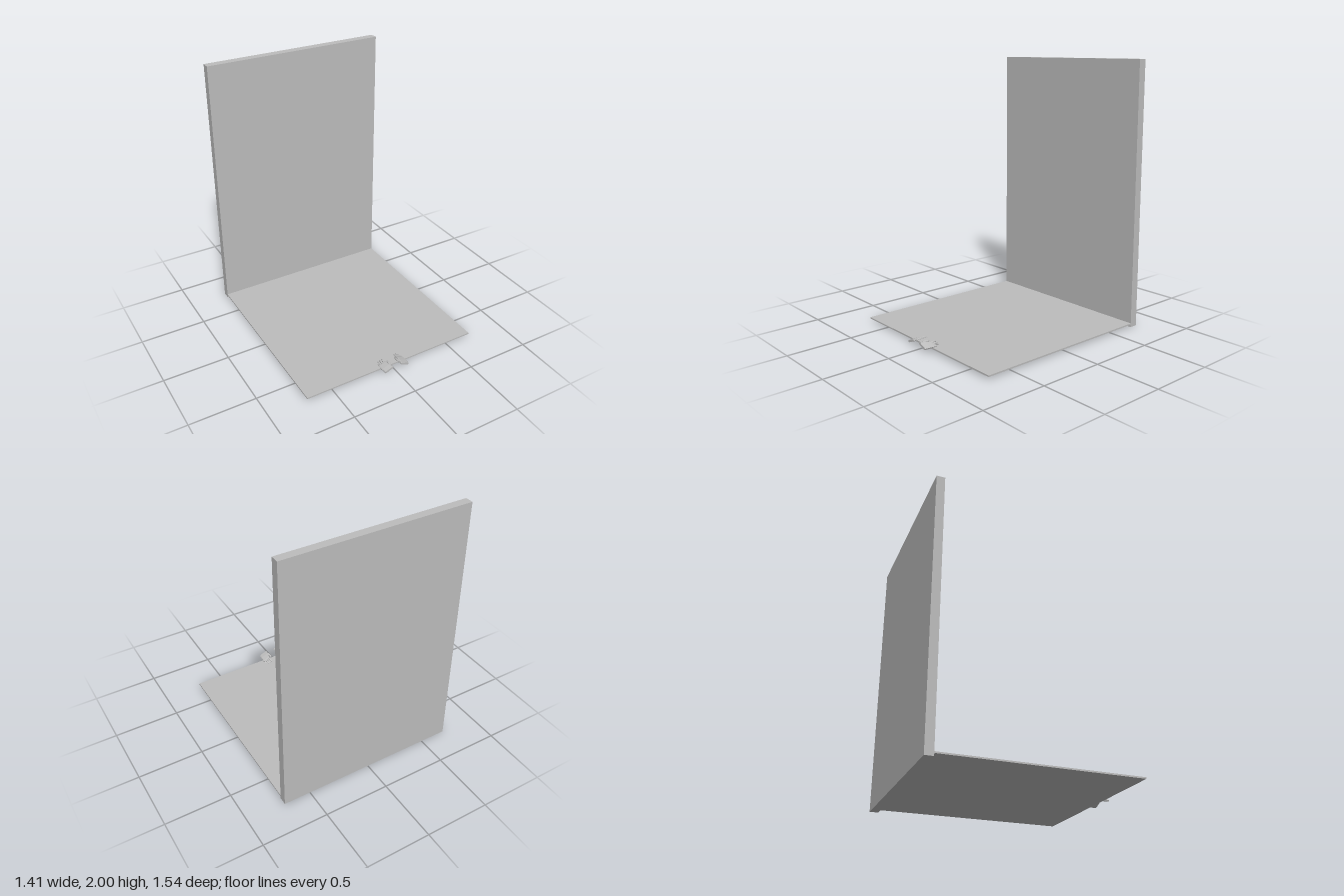
import * as THREE from 'three';

const grey = new THREE.MeshStandardMaterial({ color: 0xbdbdbd, flatShading: true });
grey.name = 'plain grey';

// Bevelled rectangle used as the cross-section of palms and fingers
const RING = [[1, -0.6], [1, 0.6], [0.8, 1], [-0.8, 1], [-1, 0.6], [-1, -0.6], [-0.8, -1], [0.8, -1]];

// Skin through sections [x, y, z, halfWidth, halfHeight], from wrist (+z) to tip (-z)
function loft(sections, side) {
  const n = RING.length, pos = [], idx = [];
  const tri = (a, b, c) => (side > 0 ? idx.push(a, b, c) : idx.push(a, c, b));
  for (const [x, y, z, w, h] of sections) {
    for (const [u, v] of RING) pos.push(side * (x + u * w), y + v * h, z);
  }
  const last = (sections.length - 1) * n;
  for (let base = 0; base < last; base += n) {
    for (let k = 0; k < n; k++) {
      const a = base + k, b = base + (k + 1) % n;
      tri(a, a + n, b);
      tri(b, a + n, b + n);
    }
  }
  for (let k = 1; k < n - 1; k++) {
    tri(0, k, k + 1);
    tri(last, last + k + 1, last + k);
  }
  const g = new THREE.BufferGeometry();
  g.setAttribute('position', new THREE.Float32BufferAttribute(pos, 3));
  g.setIndex(idx);
  const flat = g.toNonIndexed();
  flat.computeVertexNormals();
  return flat;
}

function add(parent, name, geometry) {
  const mesh = new THREE.Mesh(geometry, grey);
  mesh.name = name;
  parent.add(mesh);
  return mesh;
}

// side is +1 for the hand on +x, -1 for its mirror
function makeHand(side) {
  const hand = new THREE.Group();
  hand.name = side > 0 ? 'leftHand' : 'rightHand';
  add(hand, 'palm', loft([
    [0.001, 0, 0.066, 0.036, 0.008],
    [0.006, 0.001, 0.03, 0.034, 0.009],
    [0.011, 0, -0.01, 0.031, 0.008],
    [0.012, -0.001, -0.024, 0.029, 0.006],
  ], side));

  // Fingers: base x, tip x, tip z
  const fingers = [
    ['indexFinger', -0.01, -0.012, -0.062],
    ['middleFinger', 0.005, 0.005, -0.068],
    ['ringFinger', 0.019, 0.02, -0.063],
    ['littleFinger', 0.033, 0.034, -0.044],
  ];
  for (const [name, x0, x1, tip] of fingers) {
    const mid = (tip - 0.02) / 2;
    add(hand, name, loft([
      [x0, -0.001, -0.018, 0.0068, 0.006],
      [(x0 + x1) / 2, -0.002, mid, 0.006, 0.0055],
      [x1, -0.005, tip + 0.006, 0.0052, 0.0045],
      [x1, -0.007, tip, 0.003, 0.0025],
    ], side));
  }

  // Thumb along the inner edge
  add(hand, 'thumb', loft([
    [-0.026, 0, 0.04, 0.009, 0.007],
    [-0.033, 0, 0.014, 0.0075, 0.0065],
    [-0.034, -0.002, -0.012, 0.006, 0.005],
    [-0.033, -0.003, -0.019, 0.004, 0.003],
  ], side));

  hand.position.set(side * 0.066, 0.047, 0.702);
  hand.rotation.z = -side * 0.38;
  return hand;
}

export function createModel() {
  const model = new THREE.Group();
  model.name = 'wallAndFloorWithHands';

  add(model, 'wall', new THREE.BoxGeometry(1.412, 2, 0.062)).position.set(0, 1, -0.737);
  add(model, 'floor', new THREE.BoxGeometry(1.412, 0.011, 1.412)).position.set(0, 0.0245, 0);
  for (const side of [1, -1]) model.add(makeHand(side));

  return model;
}
